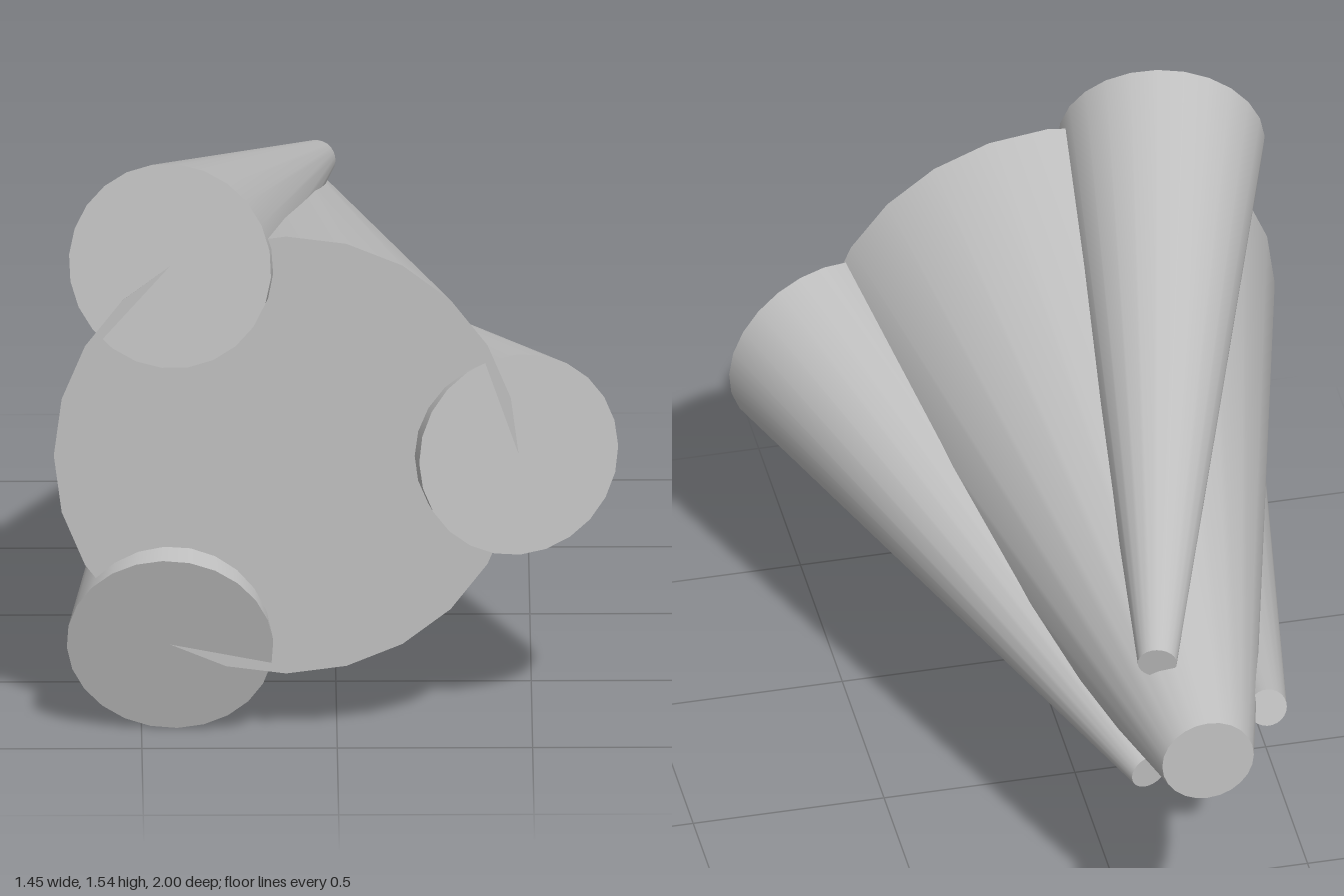
import * as THREE from 'three';

const AXIS_X = -0.13, AXIS_Y = 0.775;

// Closed truncated cone running between two centre points
function taperedCone(name, back, front, backRadius, frontRadius, material) {
  const axis = front.clone().sub(back);
  const geometry = new THREE.CylinderGeometry(frontRadius, backRadius, axis.length(), 24);
  const mesh = new THREE.Mesh(geometry, material);
  mesh.name = name;
  mesh.position.copy(back).add(front).multiplyScalar(0.5);
  mesh.quaternion.setFromUnitVectors(new THREE.Vector3(0, 1, 0), axis.normalize());
  return mesh;
}

// Point at a given radius and angle around the main axis
function around(radius, angle, z) {
  return new THREE.Vector3(AXIS_X + radius * Math.cos(angle), AXIS_Y + radius * Math.sin(angle), z);
}

export function createModel() {
  const group = new THREE.Group();
  group.name = 'twistedConeCluster';
  const grey = new THREE.MeshStandardMaterial({ color: 0xc0c0c0 });
  grey.name = 'light grey';

  // Central cone, wide end to the front
  group.add(taperedCone('mainCone', around(0, 0, -1), around(0, 0, 0.92), 0.12, 0.595, grey));

  // Three slim cones on its rim, each twisted around the axis towards the back
  const twist = THREE.MathUtils.degToRad(56.5);
  ['leftCone', 'upperCone', 'lowerCone'].forEach((name, i) => {
    const angle = (i * Math.PI * 2) / 3;
    group.add(taperedCone(name, around(0.2, angle - twist, -0.8), around(0.595, angle, 0.92), 0.05, 0.265, grey));
  });
  return group;
}
